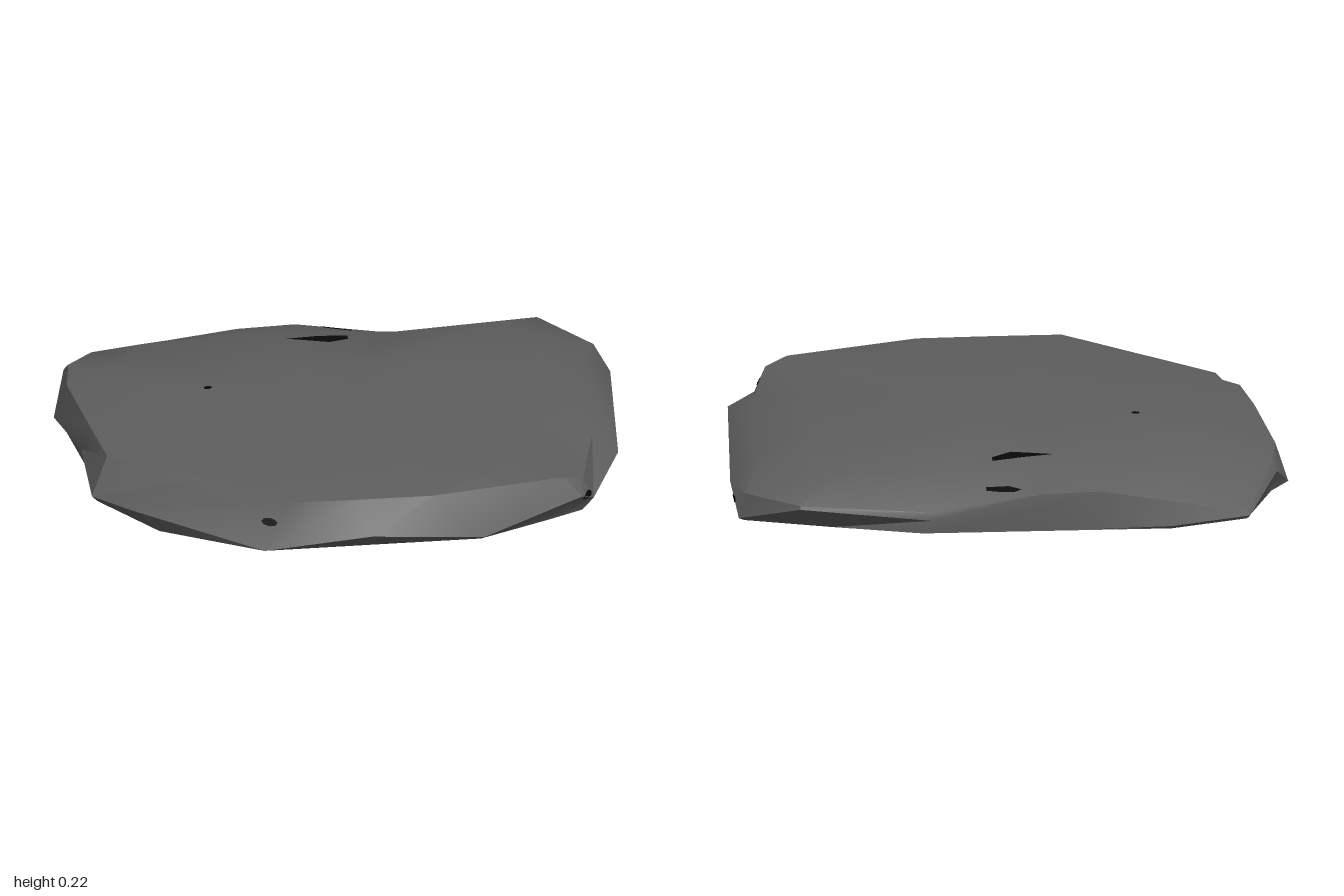
import * as THREE from 'three';
import { toCreasedNormals } from 'three/addons/utils/BufferGeometryUtils.js';

// Rings of the slab, all in the same order round from the back right corner
const foot = [
  [-.83, .03, -.74], [-.56, 0, -.745], [-.31, 0, -.735], [-.1, 0, -.738], [.33, 0, -.74],
  [.65, 0, -.66], [.96, 0, -.575], [.95, .005, -.4], [.86, .005, .2], [.82, .01, .48],
  [.7, .01, .54], [.44, .01, .66], [.04, .01, .67], [-.33, .01, .68], [-.7, .01, .5],
  [-.9, .005, .25], [-.92, .015, 0], [-.98, .005, -.36], [-.93, .04, -.51],
];
const girth = [
  [-.84, .045, -.75], [-.56, .015, -.76], [-.31, .08, -.73], [-.1, .09, -.745], [.3, .05, -.745],
  [.77, .11, -.76], [.98, .01, -.58], [1, .08, -.4], [.97, .105, .24], [.86, .06, .485],
  [.815, .1, .545], [.45, .02, .67], [.04, .09, .755], [-.34, .015, .69], [-.79, .09, .49],
  [-.92, .03, .26], [-.935, .08, 0], [-1, .015, -.36], [-.95, .12, -.52],
];
const rim = [
  [-.83, .06, -.745], [-.56, .1, -.735], [-.31, .14, -.725], [-.1, .14, -.74], [.3, .08, -.74],
  [.77, .12, -.75], [.955, .1, -.57], [.9, .16, -.35], [.88, .16, .2], [.82, .15, .5],
  [.74, .175, .535], [.27, .185, .645], [0, .185, .65], [-.25, .185, .65], [-.53, .18, .435],
  [-.86, .16, .2], [-.9, .165, 0], [-.955, .155, -.34], [-.935, .15, -.5],
];

function slabGeometry() {
  // Gently domed top: shrunken copies of the rim that lose its ups and downs
  const shrink = (s, keep, top) => rim.map(([x, y, z]) => [x * s, top + (y - top) * keep - 0.015 * z * s, z * s]);
  const rings = [foot, girth, rim, shrink(0.8, 0.36, 0.213), shrink(0.4, 0.03, 0.213)];
  const n = rim.length;
  const index = [];
  for (let r = 0; r < rings.length - 1; r++) {
    for (let i = 0; i < n; i++) {
      const j = (i + 1) % n;
      const a = r * n + i, b = r * n + j;
      index.push(b, a, a + n, b, a + n, b + n);
    }
  }
  const last = (rings.length - 1) * n, centre = rings.length * n;
  for (let i = 0; i < n; i++) index.push(centre, last + (i + 1) % n, last + i);
  // Underside fans out from the back edge
  const hub = 4;
  for (let k = 1; k < n - 1; k++) index.push(hub, (hub + k) % n, (hub + k + 1) % n);

  const geo = new THREE.BufferGeometry();
  geo.setAttribute('position', new THREE.Float32BufferAttribute([...rings.flat(), [0, 0.215, 0]].flat(), 3));
  geo.setIndex(index);
  return toCreasedNormals(geo, 0.65);
}

// Thin dark patch laid on the slab by casting its outline along an axis
function pitGeometry(slab, axis, outline) {
  const origins = {
    top: (a, b) => [a, 2, b],
    front: (a, b) => [a, b, 2],
    left: (a, b) => [2, b, a],
  };
  const dir = { top: [0, -1, 0], front: [0, 0, -1], left: [-1, 0, 0] }[axis];
  const d = new THREE.Vector3(...dir);
  const cast = ([a, b]) => {
    const hit = new THREE.Raycaster(new THREE.Vector3(...origins[axis](a, b)), d).intersectObject(slab)[0];
    return hit ? hit.point.addScaledVector(d, -0.005) : null;
  };
  const mid = outline.reduce((s, p) => [s[0] + p[0] / outline.length, s[1] + p[1] / outline.length], [0, 0]);
  const pts = [mid, ...outline].map(cast).filter(Boolean);
  const index = [];
  for (let i = 1; i < pts.length; i++) index.push(0, i, i + 1 < pts.length ? i + 1 : 1);
  const geo = new THREE.BufferGeometry().setFromPoints(pts);
  geo.setIndex(index);
  geo.computeVertexNormals();
  return geo;
}

const oval = (a, b, w, h) => Array.from({ length: 8 }, (_, i) => {
  const t = i * Math.PI / 4;
  return [a + w * Math.cos(t), b + h * Math.sin(t)];
});

export function createModel() {
  const stone = new THREE.MeshStandardMaterial({ color: 0x5e5e5e });
  stone.name = 'grey stone';
  const dark = new THREE.MeshStandardMaterial({ color: 0x080808, side: THREE.DoubleSide });
  dark.name = 'dark pit';

  const model = new THREE.Group();
  model.name = 'stoneSlab';
  const slab = new THREE.Mesh(slabGeometry(), stone);
  slab.name = 'slab';
  model.add(slab);

  const pits = [
    ['top', [[-.025, -.705], [.0, -.712], [.05, -.702], [.1, -.685], [.1, -.668], [.02, -.68]]],
    ['top', [[-.15, -.52], [-.04, -.535], [.07, -.545], [.07, -.515], [0, -.485]]],
    ['top', oval(-.465, -.17, .016, .012)],
    ['front', oval(-.32, .115, .028, .014)],
    ['left', oval(.515, .09, .022, .016)],
    ['left', oval(-.49, .05, .026, .011)],
  ];
  pits.forEach(([axis, outline], i) => {
    const pit = new THREE.Mesh(pitGeometry(slab, axis, outline), dark);
    pit.name = `pit${i + 1}`;
    model.add(pit);
  });
  return model;
}
